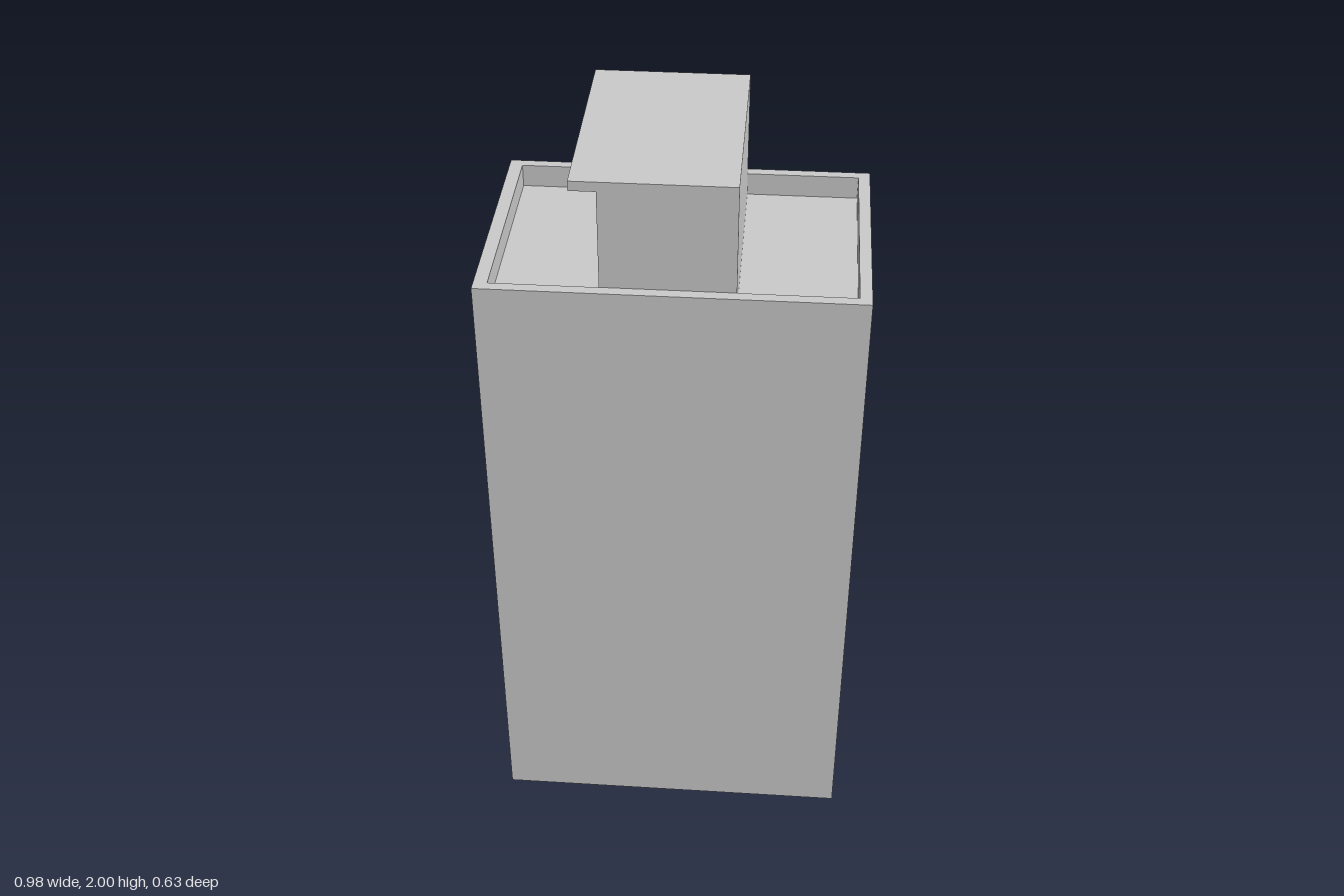
import * as THREE from 'three';

const material = new THREE.MeshStandardMaterial({ color: 0xcccccc, flatShading: true });

// Overall limits of the building
const X0 = -0.455, X1 = 0.49, Z0 = -0.317, Z1 = 0.315;
const ROOF = 1.66, PARAPET = 1.72, STOREY = 0.5;

export function createModel() {
  const model = new THREE.Group();

  const add = (name, geometry) => {
    const mesh = new THREE.Mesh(geometry, material);
    mesh.name = name;
    model.add(mesh);
    return mesh;
  };

  // Box given by its limits
  const box = (name, x0, x1, y0, y1, z0, z1) =>
    add(name, new THREE.BoxGeometry(x1 - x0, y1 - y0, z1 - z0)
      .translate((x0 + x1) / 2, (y0 + y1) / 2, (z0 + z1) / 2));

  const rectangle = (Type, a0, a1, b0, b1) => new Type([
    [a0, b0], [a1, b0], [a1, b1], [a0, b1],
  ].map(([a, b]) => new THREE.Vector2(a, b)));

  // Wall in the z-y plane with rectangular openings [z0, z1, y0, y1]
  const wall = (name, x0, x1, openings) => {
    const shape = rectangle(THREE.Shape, Z0, Z1, 0, ROOF);
    shape.holes = openings.map((o) => rectangle(THREE.Path, ...o));
    const geometry = new THREE.ExtrudeGeometry(shape, { depth: x1 - x0, bevelEnabled: false });
    add(name, geometry.rotateY(-Math.PI / 2).translate(x1, 0, 0));
  };

  // Main block behind the facade
  box('mainBlock', -0.33, X1, 0, ROOF, Z0, Z1);

  // Facade: thin outer skin, and an inner layer where balconies drop behind their sill
  const floors = [0, STOREY];
  const garage = [-0.29, 0.285, 0.03, 0.505];
  wall('facade', X0, -0.422, [
    garage,
    ...floors.map((f) => [0.02, 0.285, 0.65 + f, 1.01 + f]),
    ...floors.map((f) => [-0.262, -0.052, 0.7 + f, 0.94 + f]),
  ]);
  wall('facadeInner', -0.422, -0.33, [
    garage,
    ...floors.map((f) => [0.02, 0.285, 0.56 + f, 1.01 + f]),
  ]);

  // Ground floor entrance
  box('garageDoor', -0.397, -0.33, 0.03, 0.505, -0.29, 0.285);
  box('entranceStep', -0.422, -0.397, 0.03, 0.04, 0.04, 0.285);

  for (const f of floors) {
    // Window pane and its sloping awning
    box('windowPane', -0.437, -0.422, 0.7 + f, 0.94 + f, -0.262, -0.052);
    const profile = new THREE.Shape([
      [-0.49, 0.925], [X0, 0.968], [X0, 0.995], [-0.49, 0.95],
    ].map(([x, y]) => new THREE.Vector2(x, y + f)));
    add('awning', new THREE.ExtrudeGeometry(profile, { depth: 0.265, bevelEnabled: false })
      .translate(0, 0, -0.29));

    // Balcony door frame
    for (const z of [0.05, 0.245]) {
      box('balconyDoorPost', -0.345, -0.33, 0.56 + f, 0.95 + f, z, z + 0.02);
    }
    box('balconyDoorLintel', -0.345, -0.33, 0.93 + f, 0.95 + f, 0.07, 0.245);
  }

  // Parapet ring around the flat roof
  const ring = rectangle(THREE.Shape, X0, X1, -Z1, -Z0);
  ring.holes = [rectangle(THREE.Path, -0.421, 0.46, -0.287, 0.29)];
  add('parapet', new THREE.ExtrudeGeometry(ring, { depth: PARAPET - ROOF, bevelEnabled: false })
    .rotateX(-Math.PI / 2).translate(0, ROOF, 0));

  // Rooftop stair house with overhanging slab and a framed door
  box('stairHouse', -0.14, 0.172, ROOF, 1.975, -0.29, 0.286);
  box('stairHouseRoof', -0.22, 0.172, 1.975, 2, -0.29, 0.286);
  box('stairHouseDoorPost', -0.155, -0.14, ROOF, 1.975, 0.085, 0.105);
  box('stairHouseDoorPost', -0.155, -0.14, ROOF, 1.975, 0.24, 0.286);
  box('stairHouseDoorLintel', -0.155, -0.14, 1.94, 1.975, 0.105, 0.24);

  return model;
}
